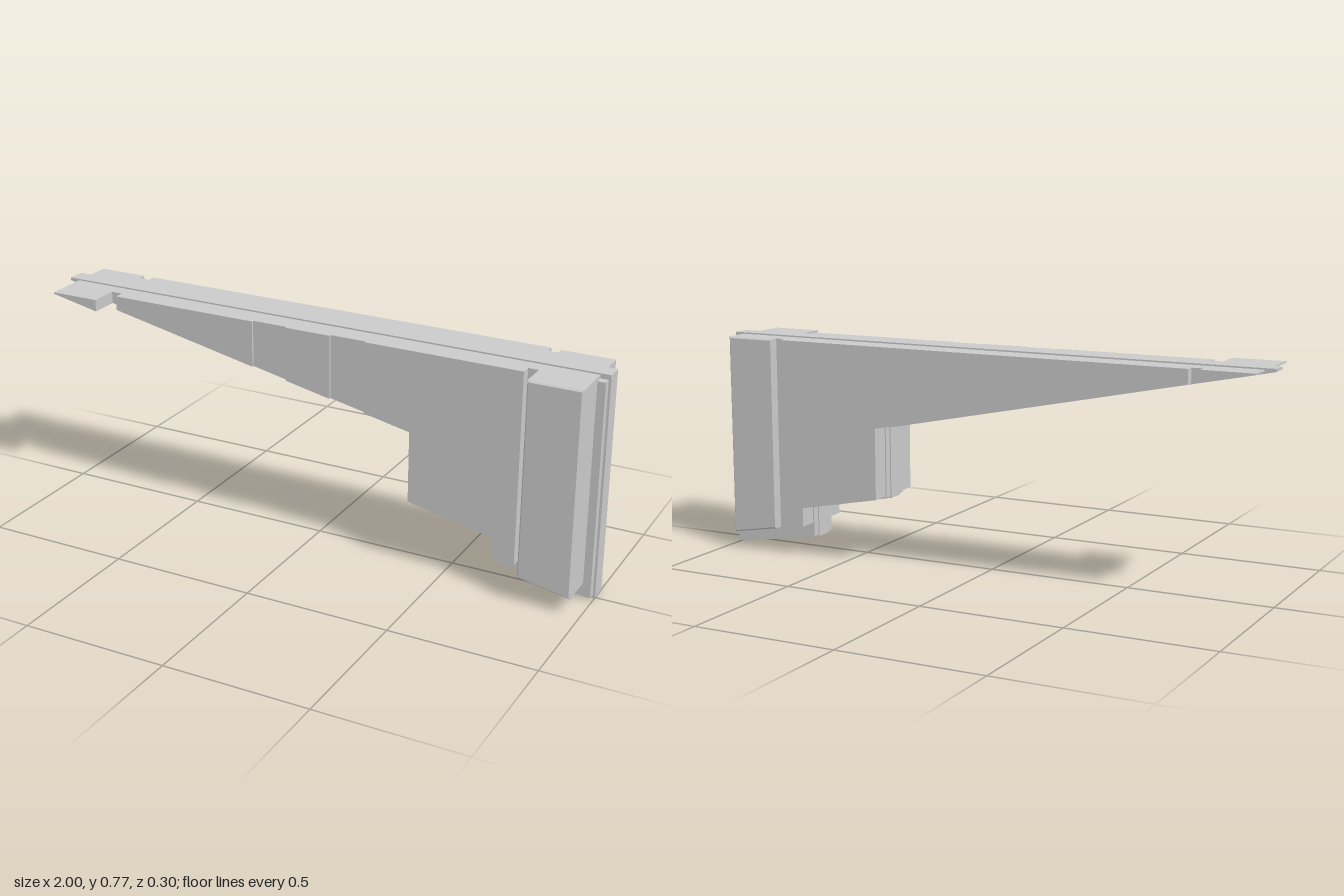
import * as THREE from 'three';

// Stepped underside as [x, y] corners, from the thin tip to the deep end
const CORE = [[-1, 0.757], [0.362, 0.473], [0.362, 0.225], [0.662, 0.165], [0.662, 0.055], [0.97, 0.002], [1, 0]];
const FLANGE = [[-0.9, 0.741], [0.366, 0.477], [0.366, 0.229], [0.666, 0.17], [0.666, 0.059], [0.97, 0.008], [0.992, 0.008]];
const BODY = [[-0.965, 0.757], [0.37, 0.482], [0.37, 0.234], [0.67, 0.174], [0.67, 0.108], [0.965, 0.056]];

// Height of the underside at x
function heightAt(line, x) {
  for (let i = 0; i < line.length - 1; i++) {
    const [x0, y0] = line[i], [x1, y1] = line[i + 1];
    if (x1 > x0 && x >= x0 && x <= x1) return y0 + (y1 - y0) * (x - x0) / (x1 - x0);
  }
  return line[line.length - 1][1];
}

export function createModel() {
  const model = new THREE.Group();
  const material = new THREE.MeshStandardMaterial({ color: 0xcccccc, flatShading: true });

  // Slice of a profile between xa and xb, extruded from z0 to z1
  function slab(name, line, top, xa, xb, z0, z1, bevel = 0) {
    const points = [
      [xa, heightAt(line, xa)],
      ...line.filter(([x]) => x > xa + 1e-4 && x < xb - 1e-4),
      [xb, heightAt(line, xb)],
      [xb, top], [xa, top],
    ].map(([x, y]) => new THREE.Vector2(x, y));
    const geometry = new THREE.ExtrudeGeometry(new THREE.Shape(points), {
      depth: z1 - z0 - 2 * bevel,
      bevelEnabled: bevel > 0,
      bevelThickness: bevel,
      bevelSize: bevel,
      bevelOffset: -bevel,
      bevelSegments: 1,
    });
    geometry.translate(0, 0, z0 + bevel);
    const mesh = new THREE.Mesh(geometry, material);
    mesh.name = name;
    model.add(mesh);
  }

  // Central rail and the wider flange around it
  slab('coreRail', CORE, 0.767, -1, 1, -0.06, 0);
  slab('flange', FLANGE, 0.75, -0.9, 0.992, -0.086, 0.026);

  // Wide end blocks
  slab('tipBlock', BODY, 0.762, -0.965, -0.79, -0.15, 0.15);
  slab('endPillar', BODY, 0.762, 0.785, 0.965, -0.15, 0.15, 0.005);

  // Recessed necks beside the end blocks
  slab('tipNeck', BODY, 0.762, -0.79, -0.75, -0.12, 0.05);
  slab('endNeck', BODY, 0.762, 0.75, 0.785, -0.12, 0.05);

  // Long panel, with a front skin that leaves two shallow recesses
  slab('mainPanel', BODY, 0.762, -0.75, 0.75, -0.15, 0.077);
  for (const [xa, xb] of [[-0.75, -0.21], [-0.085, 0.08], [0.205, 0.75]]) {
    slab('frontSkin', BODY, 0.762, xa, xb, 0.077, 0.085);
  }
  return model;
}
